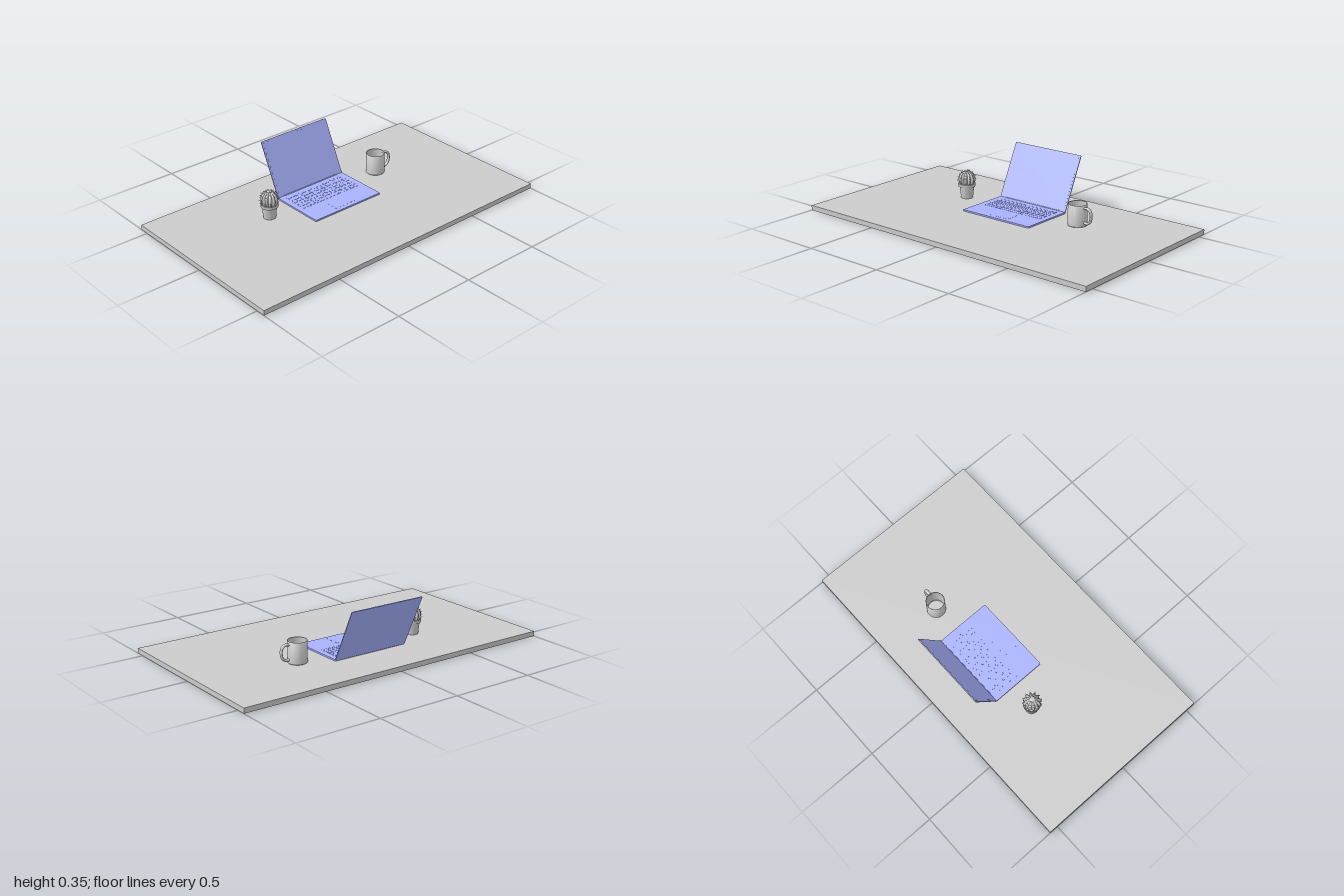
import * as THREE from 'three';
import { toCreasedNormals } from 'three/addons/utils/BufferGeometryUtils.js';

const grey = new THREE.MeshStandardMaterial({ color: 0xcccccc });
const greyThin = new THREE.MeshStandardMaterial({ color: 0xcccccc, side: THREE.DoubleSide });
const blue = new THREE.MeshStandardMaterial({ color: 0xaab3ff });

function add(parent, name, geometry, material, x = 0, y = 0, z = 0) {
  const mesh = new THREE.Mesh(geometry, material);
  mesh.name = name;
  mesh.position.set(x, y, z);
  parent.add(mesh);
  return mesh;
}

function group(parent, name, x, y, z) {
  const g = new THREE.Group();
  g.name = name;
  g.position.set(x, y, z);
  parent.add(g);
  return g;
}

// Upright slab with rounded corners, centred on x, standing on y = 0
function slab(w, h, depth, r) {
  const s = new THREE.Shape();
  const x = w / 2;
  s.moveTo(-x + r, 0);
  s.lineTo(x - r, 0);
  s.absarc(x - r, r, r, -Math.PI / 2, 0);
  s.absarc(x - r, h - r, r, 0, Math.PI / 2);
  s.absarc(-x + r, h - r, r, Math.PI / 2, Math.PI);
  s.absarc(-x + r, r, r, Math.PI, Math.PI * 1.5);
  return new THREE.ExtrudeGeometry(s, { depth, bevelEnabled: false, curveSegments: 4 });
}

function lathe(points, segments = 40) {
  const profile = points.map(([x, y]) => new THREE.Vector2(x, y));
  return toCreasedNormals(new THREE.LatheGeometry(profile, segments), 0.6);
}

function buildLaptop(parent) {
  const laptop = group(parent, 'laptop', -0.002, 0.03, -0.28);
  const width = 0.486;
  add(laptop, 'laptopBase', slab(width, 0.34, 0.009, 0.006).rotateX(-Math.PI / 2).translate(0, 0, 0.34), blue);

  // Keyboard: six rows, with a wide space bar in the front one
  const keys = group(laptop, 'keyboard', 0, 0.0092, 0.025);
  const rows = 6, columns = 14, pitchX = 0.03, pitchZ = 0.028;
  for (let r = 0; r < rows; r++) {
    const depth = r === 0 ? 0.016 : 0.023;
    for (let c = 0; c < columns; c++) {
      const inSpaceBar = r === rows - 1 && c >= 4 && c <= 8;
      if (inSpaceBar && c !== 6) continue;
      const w = (inSpaceBar ? 5 : 1) * pitchX - 0.005;
      add(keys, 'key', new THREE.BoxGeometry(w, 0.0016, depth), blue,
        (c - (columns - 1) / 2) * pitchX, 0, (r + 0.5) * pitchZ);
    }
  }
  add(laptop, 'trackpad', new THREE.BoxGeometry(0.14, 0.001, 0.095), blue, 0, 0.0091, 0.265);

  // Hinge and leaning lid
  add(laptop, 'hinge', new THREE.CylinderGeometry(0.004, 0.004, 0.4, 16).rotateZ(Math.PI / 2), blue, 0, 0.008, 0.001);
  const lid = group(laptop, 'lid', 0, 0.007, 0);
  lid.rotation.x = -0.444;
  add(lid, 'lidShell', slab(width, 0.342, 0.005, 0.006), blue, 0, 0, -0.0025);
  add(lid, 'screen', slab(width - 0.022, 0.314, 0.0006, 0.003), blue, 0, 0.016, 0.0025);
}

function buildMug(parent) {
  const mug = group(parent, 'mug', 0.412, 0.03, -0.167);
  mug.rotation.y = -0.09;
  add(mug, 'mugBody', lathe([
    [0, 0], [0.053, 0], [0.0555, 0.003], [0.0555, 0.126], [0.0545, 0.1275],
    [0.0525, 0.126], [0.0525, 0.009], [0.05, 0.006], [0, 0.006],
  ], 48), greyThin);
  const path = new THREE.CatmullRomCurve3([
    [0.052, 0.107], [0.075, 0.11], [0.094, 0.096], [0.1, 0.068], [0.093, 0.038], [0.075, 0.022], [0.052, 0.023],
  ].map(([x, y]) => new THREE.Vector3(x, y, 0)));
  // Handle flattened into a wide strap
  add(mug, 'mugHandle', new THREE.TubeGeometry(path, 40, 0.0075, 12), grey).scale.z = 1.35;
}

function buildCactus(parent) {
  const plant = group(parent, 'pottedCactus', -0.405, 0.03, -0.155);
  add(plant, 'pot', lathe([
    [0, 0], [0.036, 0], [0.043, 0.07], [0.05, 0.07], [0.051, 0.089],
    [0.046, 0.089], [0.044, 0.076], [0, 0.076],
  ]), greyThin);
  add(plant, 'soil', new THREE.CylinderGeometry(0.045, 0.045, 0.004, 32), grey, 0, 0.078, 0);

  // Ribbed ball: a sphere whose radius swells along each rib
  const ribs = 12, radius = 0.052, height = 0.05, centreY = 0.114;
  const ball = new THREE.SphereGeometry(1, ribs * 8, 28);
  const p = ball.attributes.position;
  for (let i = 0; i < p.count; i++) {
    const a = Math.atan2(p.getZ(i), p.getX(i));
    const k = radius * (0.76 + 0.24 * Math.abs(Math.cos(a * ribs / 2)));
    p.setXYZ(i, p.getX(i) * k, p.getY(i) * height, p.getZ(i) * k);
  }
  ball.computeVertexNormals();
  add(plant, 'cactusBody', ball, grey, 0, centreY, 0);

  // Clusters of three spines down every rib
  const spine = new THREE.ConeGeometry(0.0011, 0.011, 5).translate(0, 0.0045, 0);
  const spines = group(plant, 'spines', 0, centreY, 0);
  const up = new THREE.Vector3(0, 1, 0);
  for (let r = 0; r < ribs; r++) {
    const a = r / ribs * Math.PI * 2;
    for (let j = 0; j < 6; j++) {
      const e = 1.25 - j * 0.33;
      for (const spread of [-0.5, 0, 0.5]) {
        const b = a + spread;
        const m = add(spines, 'spine', spine, grey,
          Math.cos(a) * Math.cos(e) * radius, Math.sin(e) * height, Math.sin(a) * Math.cos(e) * radius);
        const dir = new THREE.Vector3(Math.cos(b) * Math.cos(e), Math.sin(e), Math.sin(b) * Math.cos(e));
        m.quaternion.setFromUnitVectors(up, dir.normalize());
      }
    }
  }
}

export function createModel() {
  const model = new THREE.Group();
  model.name = 'deskSetup';
  add(model, 'tableTop', new THREE.BoxGeometry(2, 0.03, 1.11), grey, 0, 0.015, 0);
  buildLaptop(model);
  buildMug(model);
  buildCactus(model);
  return model;
}
